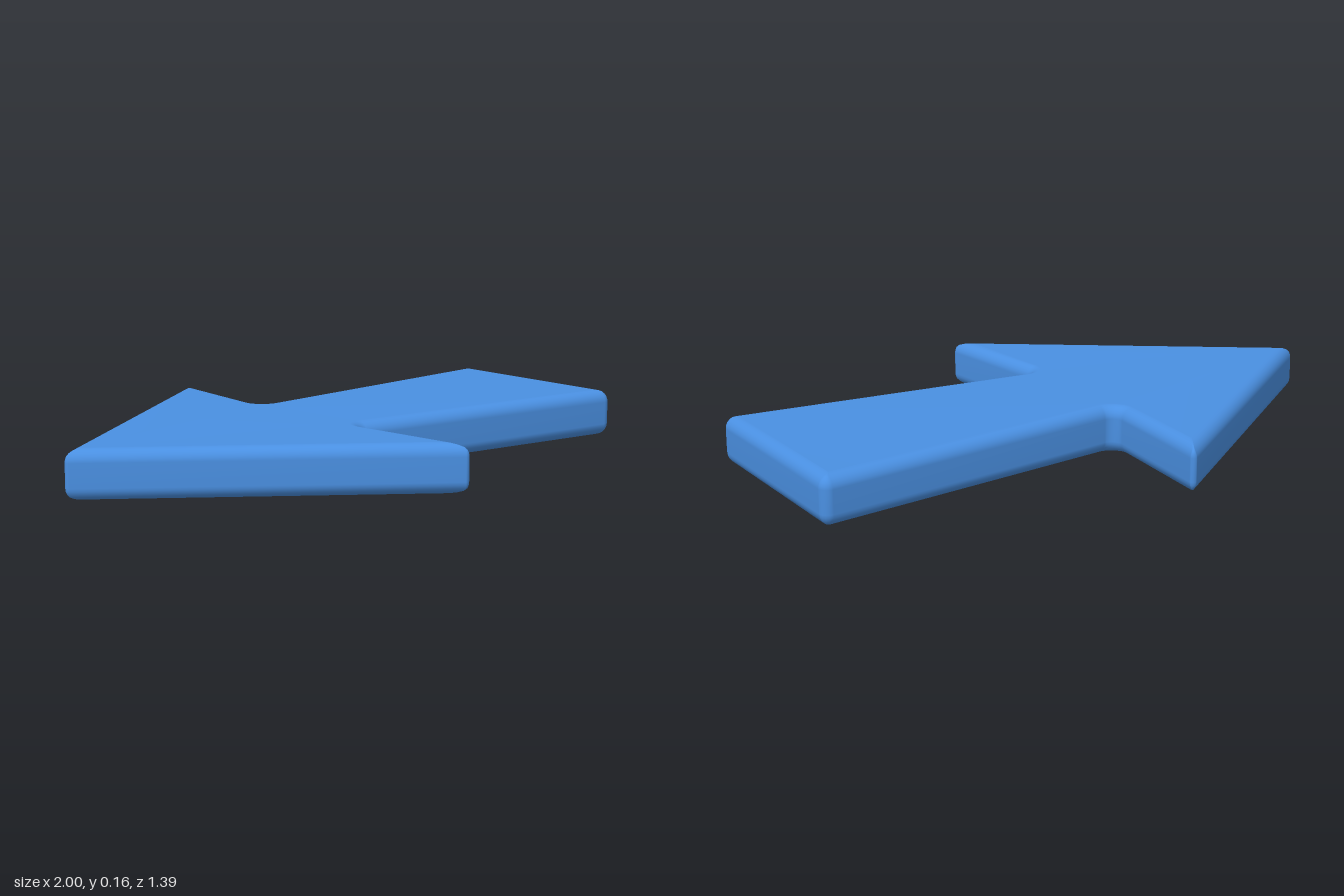
import * as THREE from 'three';

const HEIGHT = 0.155;
const BEVEL = 0.04;
const ARC_STEPS = 6;
const BEVEL_STEPS = 6;

// Arrow outline: [x, z, corner radius]
const OUTLINE = [
  [-1.008, 0, 0.012],       // tip
  [-0.034, 0.71, 0.012],    // front barb
  [-0.084, 0.234, 0.035],   // front notch
  [0.998, 0.345, 0.03],     // tail corners
  [0.998, -0.36, 0.03],
  [-0.084, -0.24, 0.035],   // back notch
  [-0.04, -0.712, 0.012],   // back barb
];

// Outline moved inward by `inset`, with every corner rounded
function insetRing(inset) {
  const n = OUTLINE.length;
  const pts = OUTLINE.map(([x, z]) => new THREE.Vector2(x, z));
  const ring = [];
  for (let i = 0; i < n; i++) {
    const d1 = pts[i].clone().sub(pts[(i + n - 1) % n]).normalize();
    const d2 = pts[(i + 1) % n].clone().sub(pts[i]).normalize();
    const n1 = new THREE.Vector2(d1.y, -d1.x);
    const n2 = new THREE.Vector2(d2.y, -d2.x);
    const miter = n1.clone().add(n2).divideScalar(1 + n1.dot(n2));
    const side = d1.cross(d2) > 0 ? -1 : 1; // -1 at the notches
    const radius = Math.max(OUTLINE[i][2] - side * inset, 0.003);
    const centre = pts[i].clone().addScaledVector(miter, inset + side * radius);
    for (let k = 0; k <= ARC_STEPS; k++) {
      const dir = n1.clone().lerp(n2, k / ARC_STEPS).normalize();
      ring.push(centre.clone().addScaledVector(dir, -side * radius));
    }
  }
  return ring;
}

function arrowGeometry() {
  // Rounded edge profile from the underside to the top: [inset, y]
  const profile = [];
  for (const sign of [-1, 1]) {
    for (let k = 0; k <= BEVEL_STEPS; k++) {
      const t = (sign < 0 ? BEVEL_STEPS - k : k) / BEVEL_STEPS;
      const a = t * Math.PI / 2;
      const y = HEIGHT / 2 + sign * (HEIGHT / 2 - BEVEL + BEVEL * Math.sin(a));
      profile.push([BEVEL * (1 - Math.cos(a)), y]);
    }
  }

  const positions = [];
  const index = [];
  const rings = profile.map(([inset]) => insetRing(inset));
  const count = rings[0].length;
  rings.forEach((ring, j) => {
    for (const p of ring) positions.push(p.x, profile[j][1], p.y);
  });

  // Walls and rounded edges
  for (let j = 0; j < rings.length - 1; j++) {
    for (let i = 0; i < count; i++) {
      const a = j * count + i;
      const b = j * count + (i + 1) % count;
      index.push(a, b, b + count, a, b + count, a + count);
    }
  }

  // Flat underside and top
  const cap = rings[0];
  const top = (rings.length - 1) * count;
  for (const [a, b, c] of THREE.ShapeUtils.triangulateShape(cap, [])) {
    const turn = cap[b].clone().sub(cap[a]).cross(cap[c].clone().sub(cap[a]));
    const [p, q] = turn < 0 ? [b, c] : [c, b];
    index.push(top + a, top + p, top + q, a, q, p);
  }

  const geometry = new THREE.BufferGeometry();
  geometry.setAttribute('position', new THREE.Float32BufferAttribute(positions, 3));
  geometry.setIndex(index);
  geometry.computeVertexNormals();
  return geometry;
}

export function createModel() {
  const group = new THREE.Group();
  group.name = 'arrow';
  const material = new THREE.MeshStandardMaterial({ color: 0x4a90e2 });
  const body = new THREE.Mesh(arrowGeometry(), material);
  body.name = 'arrowBody';
  group.add(body);
  return group;
}
